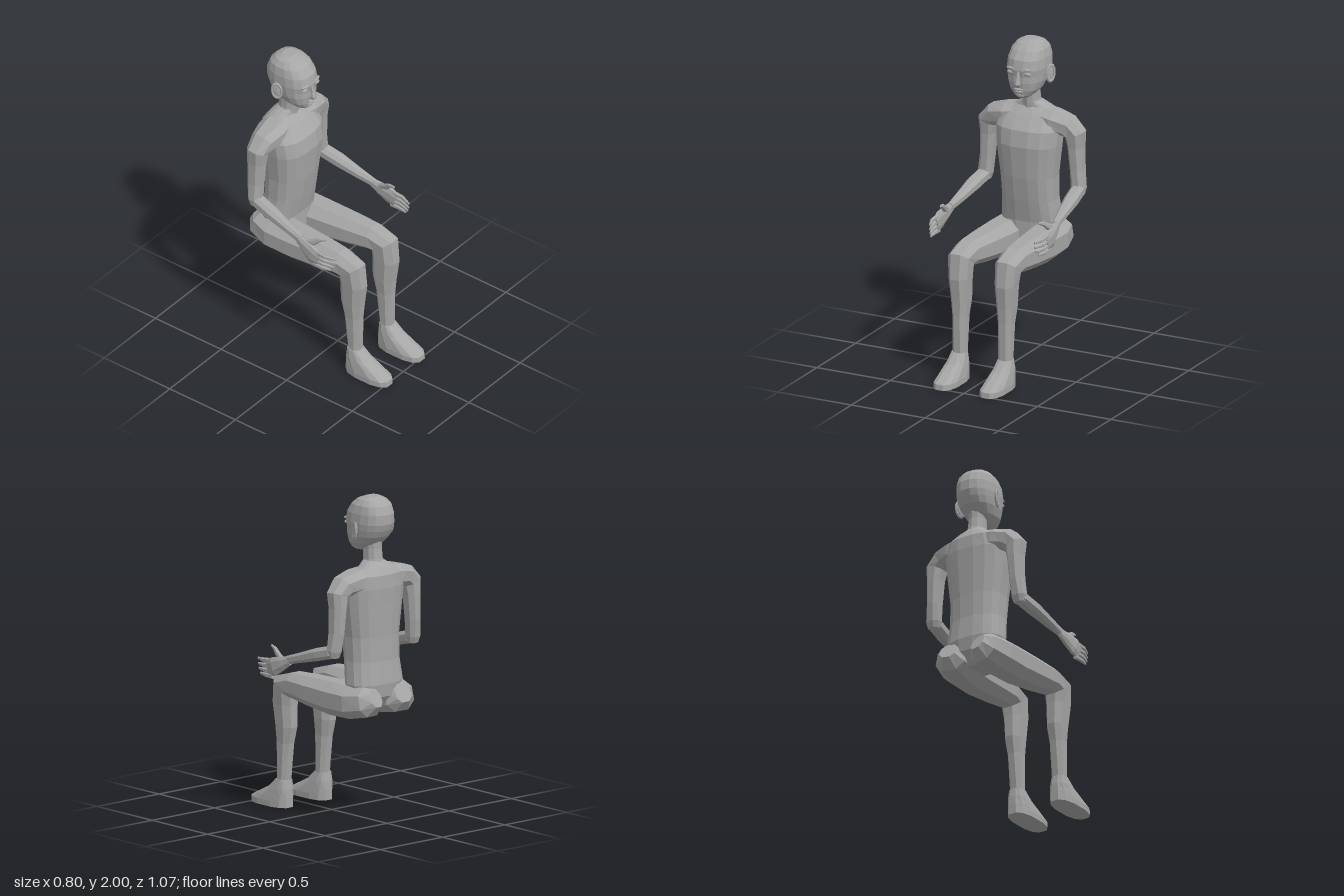
import * as THREE from 'three';

const V = (x, y, z) => new THREE.Vector3(x, y, z);

// Closed flat-faced skin through a list of rings, always wound outward
function loft(rings) {
  const n = rings[0].length, tris = [];
  const mid = r => r.reduce((a, p) => a.add(p), V(0, 0, 0)).divideScalar(n);
  for (let i = 0; i < rings.length - 1; i++) {
    for (let j = 0; j < n; j++) {
      const k = (j + 1) % n, a = rings[i], b = rings[i + 1];
      tris.push([a[j], a[k], b[k]], [a[j], b[k], b[j]]);
    }
  }
  const first = rings[0], last = rings[rings.length - 1], c0 = mid(first), c1 = mid(last);
  for (let j = 0; j < n; j++) {
    const k = (j + 1) % n;
    tris.push([c0, first[k], first[j]], [c1, last[j], last[k]]);
  }
  let volume = 0;
  for (const [a, b, c] of tris) volume += a.clone().sub(c0).dot(b.clone().sub(c0).cross(c.clone().sub(c0)));
  const pts = tris.flatMap(([a, b, c]) => (volume < 0 ? [a, c, b] : [a, b, c]));
  const geo = new THREE.BufferGeometry().setFromPoints(pts);
  geo.computeVertexNormals();
  return geo;
}

// Rounded-square ring: centre c, half axes u and v
function ring(c, u, v, n, e = 1) {
  const pw = t => Math.sign(t) * Math.pow(Math.abs(t), e);
  return Array.from({ length: n }, (_, i) => {
    const a = ((i + 0.5) / n) * Math.PI * 2;
    return c.clone().addScaledVector(u, pw(Math.cos(a))).addScaledVector(v, pw(Math.sin(a)));
  });
}

// Horizontal sections: [y, halfWidth, zBack, zFront]
const stack = (rows, n, e, x = 0) => loft(rows.map(([y, rx, zb, zf]) =>
  ring(V(x, y, (zb + zf) / 2), V(rx, 0, 0), V(0, 0, (zf - zb) / 2), n, e)));

// Limb along a path: [x, y, z, half size along ref, half size across], mirrored by s
function limb(rows, ref, s, n = 8, e = 0.85) {
  const pts = rows.map(r => V(r[0] * s, r[1], r[2]));
  return loft(rows.map((r, i) => {
    const t = pts[Math.min(i + 1, pts.length - 1)].clone().sub(pts[Math.max(i - 1, 0)]).normalize();
    const u = ref.clone().addScaledVector(t, -ref.dot(t)).normalize();
    const v = t.clone().cross(u);
    return ring(pts[i], u.multiplyScalar(r[3]), v.multiplyScalar(r[4]), n, e);
  }));
}

// Faceted ellipsoid
function blob(rx, ry, rz) {
  const g = new THREE.SphereGeometry(1, 8, 6).toNonIndexed().scale(rx, ry, rz);
  g.computeVertexNormals();
  return g;
}

export function createModel() {
  const model = new THREE.Group();
  model.name = 'seatedFigure';
  const skin = new THREE.MeshStandardMaterial({ color: 0xa6a6a6 });
  skin.name = 'grey skin';
  const X = V(1, 0, 0), Z = V(0, 0, 1);
  const add = (name, geo, x = 0, y = 0, z = 0) => {
    const m = new THREE.Mesh(geo, skin);
    m.name = name;
    m.position.set(x, y, z);
    model.add(m);
    return m;
  };

  add('torso', stack([
    [0.70, 0.08, -0.43, -0.26], [0.78, 0.17, -0.49, -0.26], [0.86, 0.193, -0.50, -0.262],
    [1.0, 0.178, -0.485, -0.235], [1.15, 0.18, -0.485, -0.213], [1.35, 0.205, -0.495, -0.195],
    [1.45, 0.212, -0.50, -0.212], [1.53, 0.19, -0.495, -0.275], [1.575, 0.11, -0.465, -0.32],
    [1.61, 0.055, -0.43, -0.32],
  ], 16, 0.8));
  add('neck', stack([[1.56, 0.068, -0.45, -0.315], [1.62, 0.055, -0.435, -0.31],
    [1.68, 0.053, -0.428, -0.305], [1.74, 0.055, -0.43, -0.30]], 10, 0.95));

  // Head, from chin to crown
  add('head', stack([
    [1.66, 0.04, -0.315, -0.225], [1.677, 0.062, -0.36, -0.212], [1.71, 0.092, -0.415, -0.203],
    [1.76, 0.112, -0.465, -0.197], [1.80, 0.118, -0.488, -0.198], [1.84, 0.122, -0.502, -0.19],
    [1.90, 0.119, -0.502, -0.203], [1.95, 0.107, -0.482, -0.24], [1.982, 0.082, -0.45, -0.28],
    [2.0, 0.045, -0.41, -0.33],
  ], 16, 0.82));
  add('nose', limb([[0, 1.835, -0.2, 0.011, 0.01], [0, 1.79, -0.19, 0.014, 0.014],
    [0, 1.757, -0.183, 0.022, 0.018], [0, 1.74, -0.192, 0.016, 0.012]], X, 1, 6, 1));
  add('upperLip', blob(0.034, 0.008, 0.014), 0, 1.719, -0.203);
  add('lowerLip', blob(0.029, 0.009, 0.014), 0, 1.703, -0.206);
  add('chin', blob(0.034, 0.018, 0.022), 0, 1.679, -0.228);

  for (const s of [1, -1]) {
    const side = s > 0 ? 'left' : 'right';

    // Eyes, brows and ears
    add(side + 'Eye', blob(0.026, 0.012, 0.014), s * 0.056, 1.822, -0.207);
    add(side + 'Brow', blob(0.032, 0.007, 0.012), s * 0.056, 1.85, -0.203).rotation.y = s * 0.25;
    const ear = add(side + 'Ear', blob(0.011, 0.05, 0.03), s * 0.13, 1.797, -0.357);
    ear.rotation.set(-0.12, -s * 0.45, 0);
    const rimGeo = new THREE.TorusGeometry(0.029, 0.008, 5, 12).rotateY(Math.PI / 2).scale(1, 1.65, 1).toNonIndexed();
    rimGeo.computeVertexNormals();
    const rim = add(side + 'EarRim', rimGeo, s * 0.136, 1.797, -0.359);
    rim.rotation.copy(ear.rotation);

    // Shoulder running into the upper arm
    add(side + 'UpperArm', limb([
      [0.05, 1.51, -0.385, 0.095, 0.07], [0.16, 1.495, -0.375, 0.10, 0.073],
      [0.25, 1.475, -0.375, 0.078, 0.07], [0.294, 1.43, -0.38, 0.066, 0.066],
      [0.297, 1.35, -0.385, 0.06, 0.051], [0.306, 1.2, -0.385, 0.053, 0.045],
      [0.317, 1.09, -0.378, 0.045, 0.047], [0.318, 1.05, -0.375, 0.032, 0.036],
    ], Z, s));
    add(side + 'Forearm', limb([
      [0.318, 1.085, -0.40, 0.03, 0.03], [0.32, 1.08, -0.36, 0.045, 0.042],
      [0.332, 1.05, -0.25, 0.045, 0.042], [0.346, 1.005, -0.1, 0.032, 0.032],
      [0.358, 0.975, 0.0, 0.019, 0.028],
    ], X, s));

    // Hand with the palm facing inward
    add(side + 'Palm', limb([
      [0.358, 0.975, -0.02, 0.019, 0.028], [0.367, 0.95, 0.04, 0.024, 0.045],
      [0.377, 0.922, 0.10, 0.022, 0.06], [0.375, 0.905, 0.15, 0.014, 0.053],
    ], X, s));
    const tips = [[0.355, 0.943, 0.265], [0.356, 0.912, 0.262], [0.36, 0.884, 0.252], [0.366, 0.858, 0.232]];
    tips.forEach(([x, y, z], i) => {
      const by = 0.952 - i * 0.031, bz = 0.13 - i * 0.006;
      add(side + 'Finger' + (i + 1), limb([
        [0.376, by, bz, 0.013, 0.017], [0.377, by * 0.45 + y * 0.55, (bz + z) / 2, 0.012, 0.015],
        [x, y, z, 0.006, 0.008],
      ], X, s, 6, 1));
    });
    add(side + 'Thumb', limb([
      [0.362, 0.965, 0.03, 0.016, 0.022], [0.352, 0.995, 0.09, 0.015, 0.021],
      [0.342, 1.024, 0.13, 0.012, 0.014], [0.333, 1.035, 0.17, 0.006, 0.008],
    ], X, s, 6, 1));

    // Buttock, thigh, knee and shin in one skin
    add(side + 'Leg', limb([
      [0.11, 0.79, -0.522, 0.055, 0.06], [0.12, 0.765, -0.475, 0.105, 0.098],
      [0.135, 0.75, -0.36, 0.122, 0.108], [0.142, 0.75, -0.2, 0.114, 0.11],
      [0.15, 0.76, 0.0, 0.10, 0.097], [0.157, 0.768, 0.15, 0.084, 0.083],
      [0.16, 0.745, 0.235, 0.075, 0.098], [0.157, 0.64, 0.245, 0.067, 0.086],
      [0.155, 0.5, 0.237, 0.058, 0.076], [0.155, 0.4, 0.245, 0.048, 0.06],
      [0.155, 0.16, 0.257, 0.045, 0.043],
    ], X, s));
    add(side + 'Foot', stack([
      [0, 0.073, 0.2, 0.525], [0.035, 0.073, 0.2, 0.523], [0.06, 0.069, 0.2, 0.475],
      [0.115, 0.059, 0.203, 0.365], [0.17, 0.047, 0.212, 0.303],
    ], 12, 0.75, s * 0.157));
  }
  return model;
}
